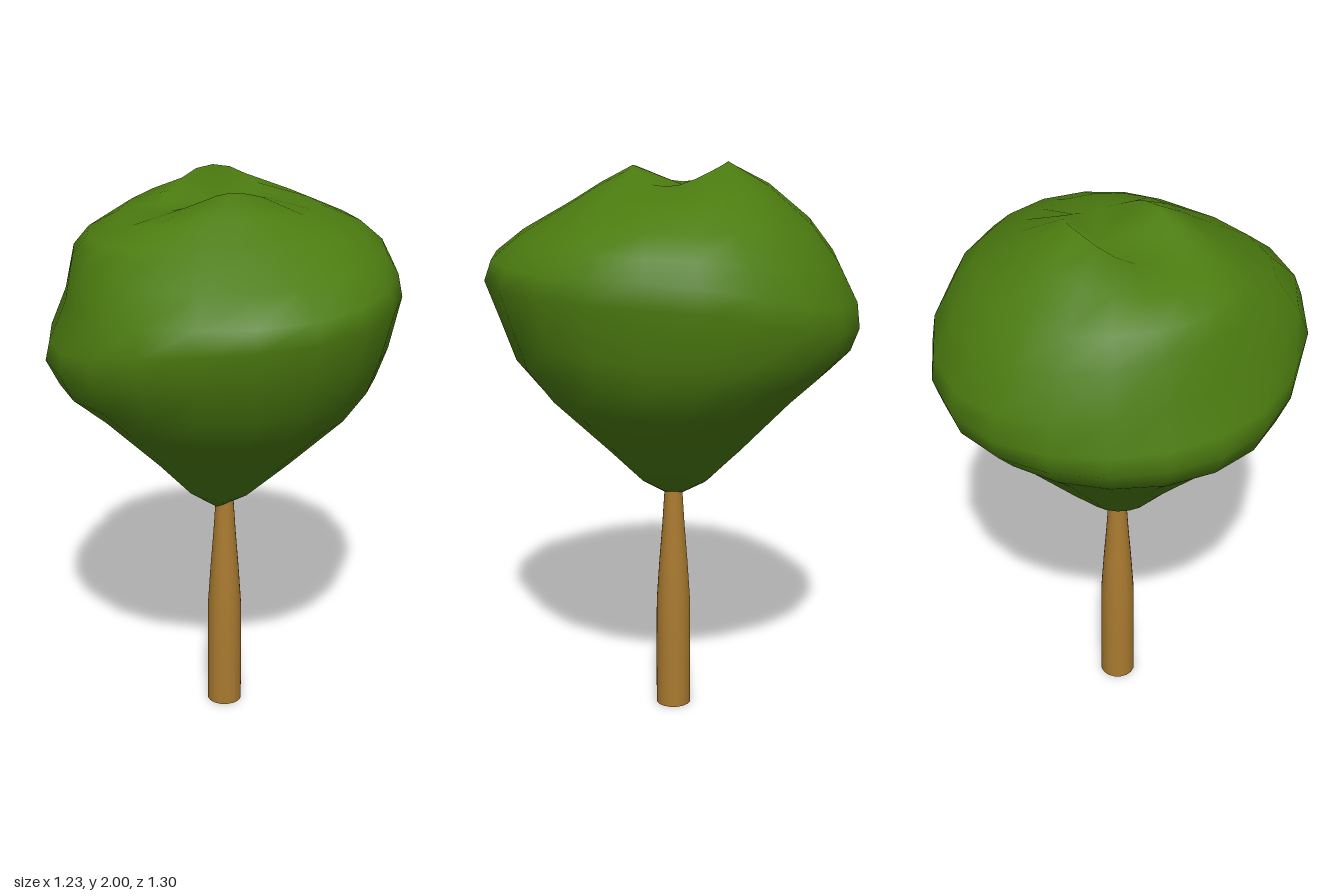
import * as THREE from 'three';

const leafGreen = new THREE.MeshStandardMaterial({ name: 'leafGreen', color: 0x4c7c10 });
const barkBrown = new THREE.MeshStandardMaterial({ name: 'barkBrown', color: 0xa97a30 });

// Canopy outlines, bottom to top, as [radius, height] toward +x, +z, -x, -z
const OUTLINES = [
  [[.11, .87], [.26, 1], [.46, 1.2], [.53, 1.31], [.57, 1.42], [.61, 1.61], [.595, 1.69], [.56, 1.76], [.48, 1.83], [.34, 1.89], [.15, 1.93]],
  [[.12, .87], [.24, 1], [.45, 1.2], [.55, 1.32], [.6, 1.46], [.655, 1.6], [.63, 1.67], [.53, 1.75], [.36, 1.85], [.25, 1.92], [.14, 1.98]],
  [[.13, .87], [.25, 1], [.45, 1.2], [.57, 1.3], [.615, 1.39], [.6, 1.46], [.54, 1.6], [.51, 1.76], [.46, 1.82], [.36, 1.87], [.2, 1.9]],
  [[.13, .87], [.26, 1], [.45, 1.2], [.55, 1.29], [.62, 1.36], [.65, 1.44], [.64, 1.53], [.57, 1.67], [.48, 1.79], [.33, 1.92], [.19, 2]],
];

// Lumpy closed canopy: rings blended smoothly between the four outlines
function canopyGeometry(segments = 20) {
  const rows = OUTLINES[0].length;
  const positions = [];
  const index = [];
  for (let row = 0; row < rows; row++) {
    for (let s = 0; s < segments; s++) {
      const turn = (s / segments) * 4;
      const q = Math.floor(turn);
      const blend = (1 - Math.cos((turn - q) * Math.PI)) / 2;
      const a = OUTLINES[q][row];
      const b = OUTLINES[(q + 1) % 4][row];
      const r = THREE.MathUtils.lerp(a[0], b[0], blend);
      const y = THREE.MathUtils.lerp(a[1], b[1], blend);
      const angle = (turn * Math.PI) / 2;
      positions.push(r * Math.cos(angle), y, r * Math.sin(angle));
    }
  }
  const bottom = rows * segments;
  const top = bottom + 1;
  positions.push(-0.02, 0.79, 0, 0, 1.9, -0.08); // lower tip and top dimple
  const last = (rows - 1) * segments;
  for (let s = 0; s < segments; s++) {
    const n = (s + 1) % segments;
    index.push(bottom, s, n, top, last + n, last + s);
    for (let row = 0; row < rows - 1; row++) {
      const lo = row * segments;
      const hi = lo + segments;
      index.push(lo + s, hi + s, lo + n, lo + n, hi + s, hi + n);
    }
  }
  const geometry = new THREE.BufferGeometry();
  geometry.setAttribute('position', new THREE.Float32BufferAttribute(positions, 3));
  geometry.setIndex(index);
  geometry.computeVertexNormals();
  return geometry;
}

export function createModel() {
  const tree = new THREE.Group();
  tree.name = 'tree';

  const canopy = new THREE.Mesh(canopyGeometry(), leafGreen);
  canopy.name = 'canopy';

  // Trunk: straight foot, tapering into the canopy
  const profile = [[.063, 0], [.063, .2], [.062, .4], [.052, .55], [.041, .69], [.032, .83]]
    .map(([r, y]) => new THREE.Vector2(r, y));
  const trunk = new THREE.Mesh(new THREE.LatheGeometry(profile, 16), barkBrown);
  trunk.name = 'trunk';
  trunk.position.set(0.008, 0, -0.003);

  // Flat cut ends of the trunk
  const base = new THREE.Mesh(new THREE.CircleGeometry(0.063, 16), barkBrown);
  base.name = 'trunkBase';
  base.rotation.x = Math.PI / 2;
  const tip = new THREE.Mesh(new THREE.CircleGeometry(0.032, 16), barkBrown);
  tip.name = 'trunkTop';
  tip.rotation.x = -Math.PI / 2;
  tip.position.y = 0.83;
  trunk.add(base, tip);

  tree.add(canopy, trunk);
  return tree;
}
